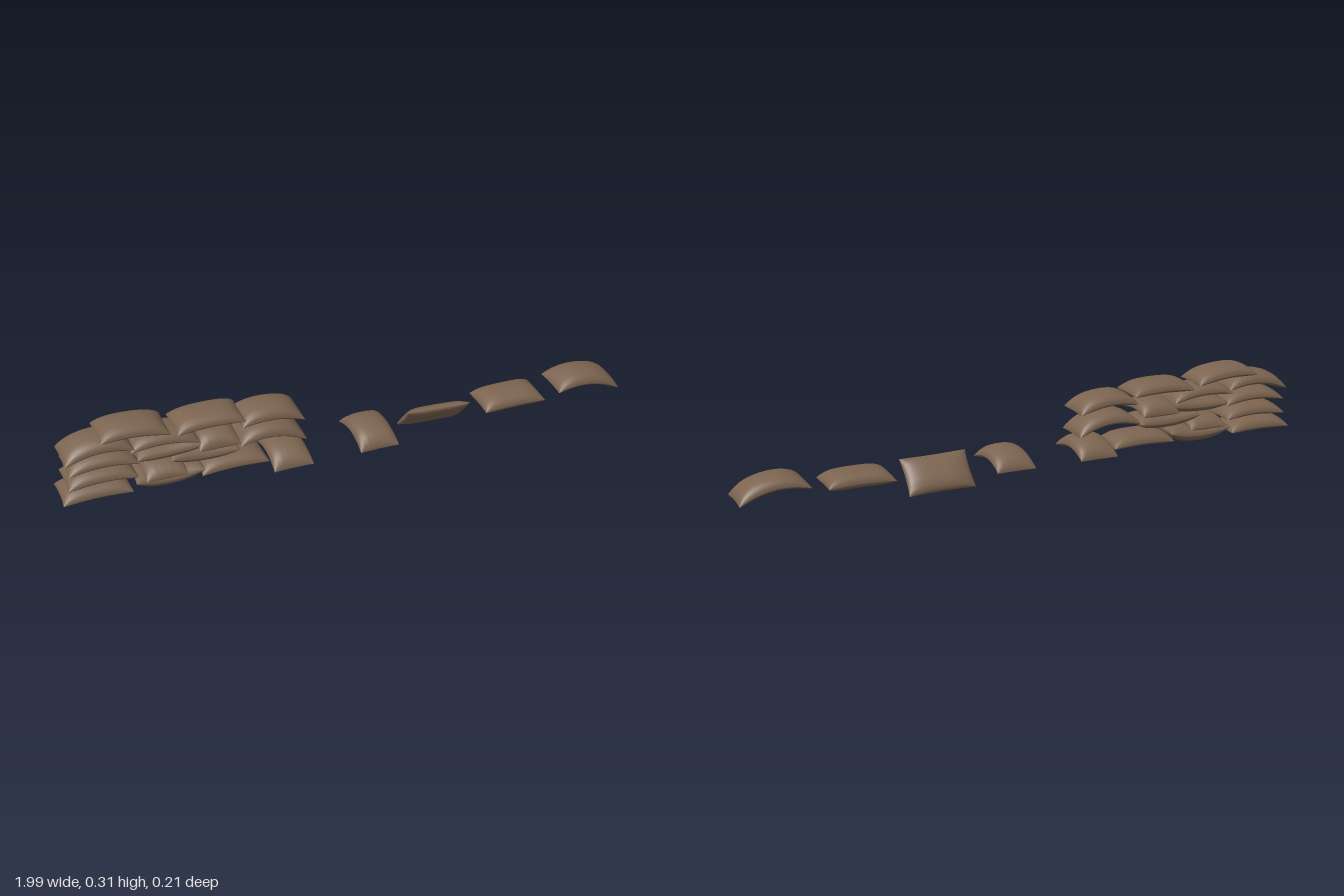
import * as THREE from 'three';
import { mergeGeometries } from 'three/addons/utils/BufferGeometryUtils.js';

// One half of a filled sack: a sheet puffed away from its seam, then arched along its length
function sackSheet(side, { half = 0.115, wide = 0.069, up = 0.036, down = 0.014, bend = 0, sag = 0 }) {
  const g = new THREE.PlaneGeometry(2, 2, 26, 20).rotateX(-side * Math.PI / 2);
  const p = g.attributes.position;
  for (let i = 0; i < p.count; i++) {
    // denser rows near the seam keep the rim round
    const u = Math.sin(p.getX(i) * Math.PI / 2), v = Math.sin(p.getZ(i) * Math.PI / 2);
    const puff = Math.sqrt(Math.max(0, (1 - u ** 4) * (1 - v * v * (0.6 + 0.4 * v * v))));
    const pleat = 0.0012 * Math.sin(v * 17 + u * 3) * u * u * puff;
    const x = u * half * (1 - 0.035 * (1 - v * v));
    const z = v * wide * (1 - 0.04 * (1 - u * u));
    const y = side * (side > 0 ? up : down) * puff + pleat - bend * u * u - sag * v * v;
    p.setXYZ(i, x, y, z);
  }
  g.computeVertexNormals();
  return g;
}

export function createModel() {
  const model = new THREE.Group();
  model.name = 'sackWall';
  const burlap = new THREE.MeshStandardMaterial({ color: 0x7c6450 });
  burlap.name = 'brownBurlap';

  function sack(parent, name, x, y, o = {}) {
    const g = mergeGeometries([sackSheet(1, o), sackSheet(-1, o)]);
    if (o.turned) g.rotateY(Math.PI / 2);
    const mesh = new THREE.Mesh(g, burlap);
    mesh.name = name;
    mesh.position.set(x, y, o.z ?? -0.01);
    mesh.rotation.set(o.pitch ?? 0, 0, o.tilt ?? 0);
    parent.add(mesh);
  }

  // Stacked wall, course by course: [x, seam height, options]
  const courses = {
    bottomCourse: [
      [-0.885, 0.077, { bend: 0.006 }],
      [-0.645, 0.078, { bend: -0.018, up: 0.03, down: 0.028 }],
      [-0.425, 0.078, { bend: 0.006 }],
      [-0.24, 0.08, { turned: true, half: 0.103, bend: 0.025, z: 0 }],
    ],
    secondCourse: [
      [-0.865, 0.133, { bend: 0.012, up: 0.034 }],
      [-0.662, 0.124, { turned: true, half: 0.092, bend: 0.014, up: 0.03 }],
      [-0.525, 0.138, { bend: -0.012, up: 0.032, down: 0.022, tilt: -0.05 }],
      [-0.29, 0.165, { bend: 0.026, tilt: -0.1 }],
    ],
    thirdCourse: [
      [-0.86, 0.189, { bend: 0.016, up: 0.032 }],
      [-0.635, 0.18, { bend: -0.008, up: 0.03, down: 0.022, tilt: 0.04 }],
      [-0.48, 0.19, { turned: true, half: 0.083, bend: 0.014 }],
      [-0.655, 0.226, { bend: 0.016, up: 0.032, tilt: -0.05 }],
    ],
    topCourse: [
      [-0.872, 0.243, { bend: 0.024, tilt: 0.06 }],
      [-0.75, 0.277, { bend: 0.012, up: 0.034, tilt: -0.07 }],
      [-0.5, 0.254, { bend: 0.008, up: 0.034 }],
      [-0.29, 0.231, { bend: 0.018, half: 0.108, tilt: -0.07 }],
    ],
  };
  for (const [name, sacks] of Object.entries(courses)) {
    const course = new THREE.Group();
    course.name = name;
    sacks.forEach(([x, y, o], i) => sack(course, `${name}Sack${i + 1}`, x, y, o));
    model.add(course);
  }

  // Loose sacks in a row beside the wall
  sack(model, 'looseSackTurned', 0.065, 0.08, { turned: true, half: 0.103, bend: 0.025, z: 0 });
  sack(model, 'looseSackLeaning', 0.315, 0.059, { pitch: -0.82, tilt: -0.04, z: -0.024, up: 0.026, down: 0.016 });
  sack(model, 'looseSackFlat', 0.59, 0.076, { bend: 0.004, half: 0.113, down: 0.022 });
  sack(model, 'looseSackArched', 0.879, 0.097, { bend: 0.026, tilt: -0.13, half: 0.119 });
  return model;
}
